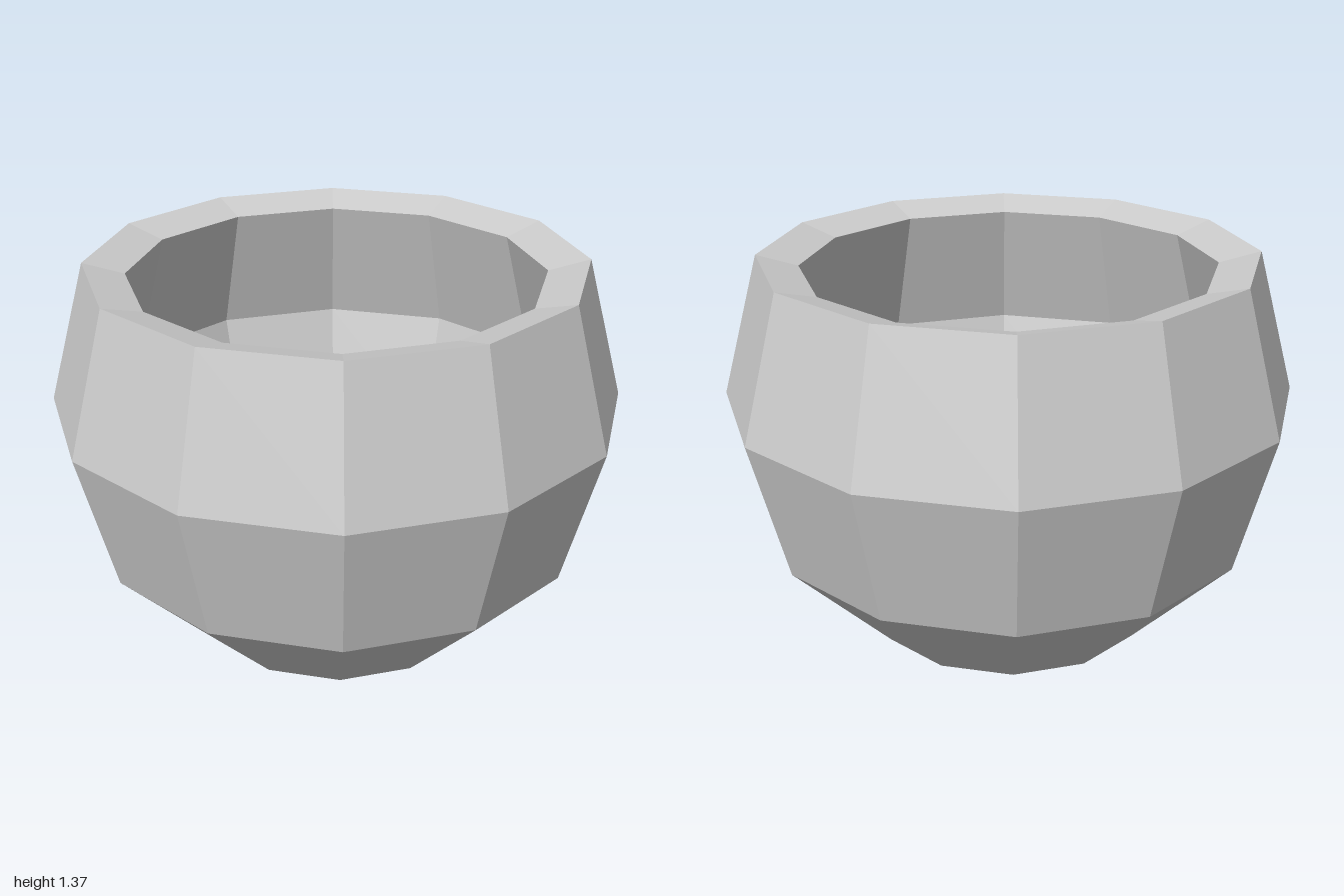
import * as THREE from 'three';

const SIDES = 12;

// Closed wall section as [radius, height]: up the outside, over the rim, down the inside
const PROFILE = [
  [0, 0], [0.5, 0], [0.866, 0.366], [1, 0.866], [0.866, 1.366], // outside
  [0.721, 1.327],                                               // inward-sloping rim
  [0.85, 0.866], [0.736, 0.441], [0.433, 0.134], [0, 0.134],    // inside and floor
];

export function createModel() {
  const group = new THREE.Group();
  group.name = 'bowl';

  // Faceted round pot with a thick wall
  const points = PROFILE.map(([r, y]) => new THREE.Vector2(r, y));
  const pot = new THREE.Mesh(
    new THREE.LatheGeometry(points, SIDES),
    new THREE.MeshStandardMaterial({ color: 0xcccccc, flatShading: true })
  );
  pot.name = 'pot';
  group.add(pot);

  return group;
}
